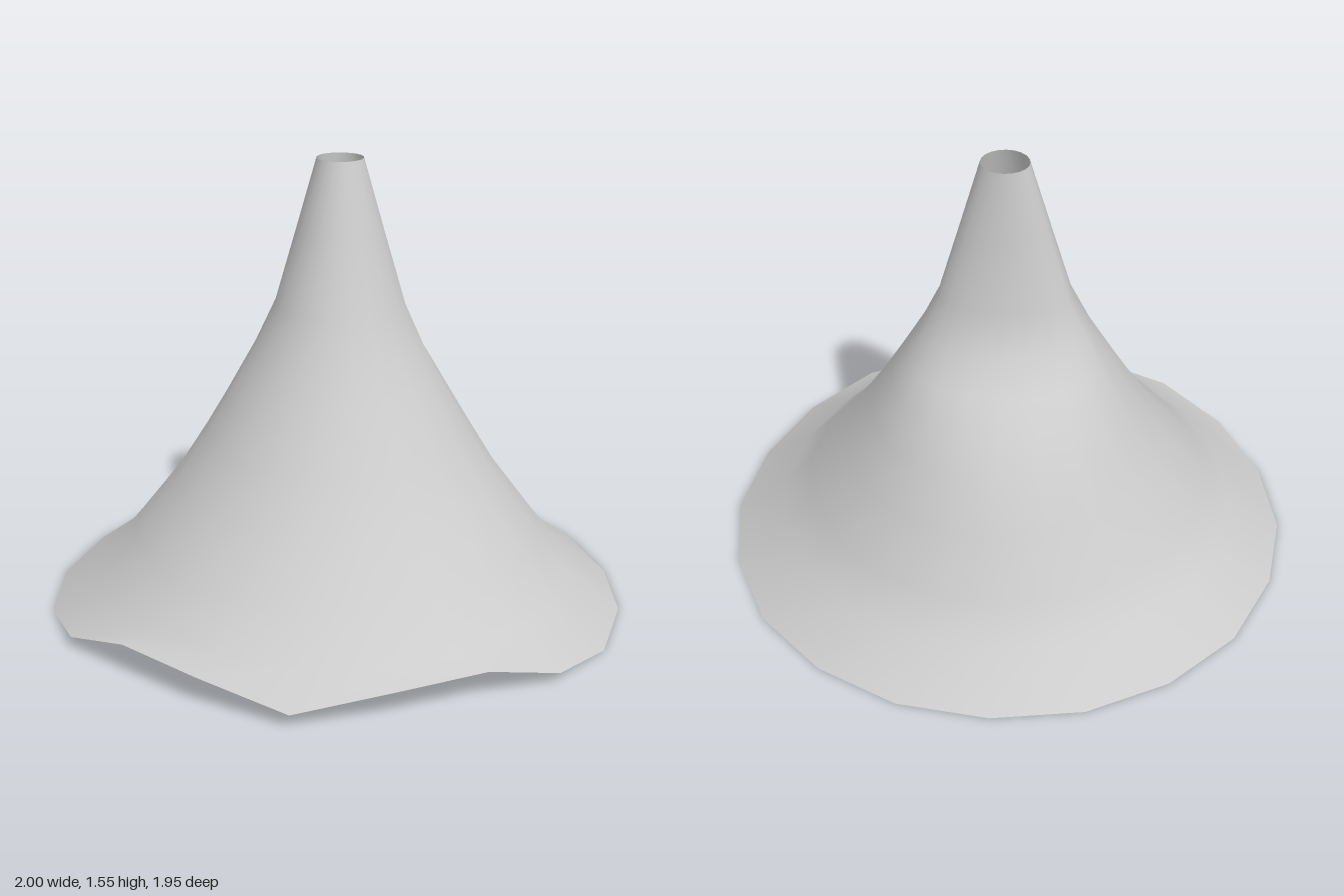
import * as THREE from 'three';

const SIDES = 20;

// Hem, from front centre round to back centre: x, y, z (mirrored for the other half)
const HEM = [
  [0, 0.05, 0.975], [0.31, 0.1, 0.88], [0.59, 0.11, 0.725], [0.81, 0.04, 0.575],
  [0.95, 0, 0.33], [1, 0, 0.02], [0.95, 0, -0.28], [0.81, 0, -0.57],
  [0.585, 0, -0.79], [0.31, 0, -0.93], [0, 0, -0.975],
];

// Rings above the hem: height, half width, front z, back z, z of the widest point
const RINGS = [
  [0.14, 0.81, 0.85, -0.8, 0.01],
  [0.26, 0.71, 0.71, -0.72, 0],
  [0.45, 0.56, 0.535, -0.62, -0.02],
  [0.6, 0.465, 0.43, -0.535, -0.04],
  [0.72, 0.395, 0.35, -0.44, -0.05],
  [0.81, 0.345, 0.295, -0.345, -0.06],
  [0.9, 0.295, 0.245, -0.24, -0.07],
  [1.05, 0.225, 0.17, -0.2, -0.08],
  [1.3, 0.152, 0.085, -0.17, -0.08],
  [1.55, 0.08, 0, -0.155, -0.08],
];

function hemPoint(i) {
  const [x, y, z] = HEM[i <= SIDES / 2 ? i : SIDES - i];
  return [i <= SIDES / 2 ? x : -x, y, z];
}

function ringPoint([y, halfWidth, front, back, mid], i) {
  const a = (i / SIDES) * Math.PI * 2;
  const c = Math.cos(a);
  return [halfWidth * Math.sin(a), y, mid + c * (c > 0 ? front - mid : mid - back)];
}

export function createModel() {
  const positions = [];
  const indices = [];

  // Stack the hem and the rings
  for (let i = 0; i < SIDES; i++) positions.push(...hemPoint(i));
  for (const ring of RINGS) {
    for (let i = 0; i < SIDES; i++) positions.push(...ringPoint(ring, i));
  }

  // Join each ring to the one above, leaving top and bottom open
  for (let r = 0; r < RINGS.length; r++) {
    for (let i = 0; i < SIDES; i++) {
      const a = r * SIDES + i;
      const b = r * SIDES + ((i + 1) % SIDES);
      indices.push(a, b, b + SIDES, a, b + SIDES, a + SIDES);
    }
  }

  const geometry = new THREE.BufferGeometry();
  geometry.setAttribute('position', new THREE.Float32BufferAttribute(positions, 3));
  geometry.setIndex(indices);
  geometry.computeVertexNormals();

  const skirt = new THREE.Mesh(
    geometry,
    new THREE.MeshStandardMaterial({ color: 0xcccccc, side: THREE.DoubleSide })
  );
  skirt.name = 'flaredSkirt';

  const model = new THREE.Group();
  model.name = 'skirt';
  model.add(skirt);
  return model;
}
